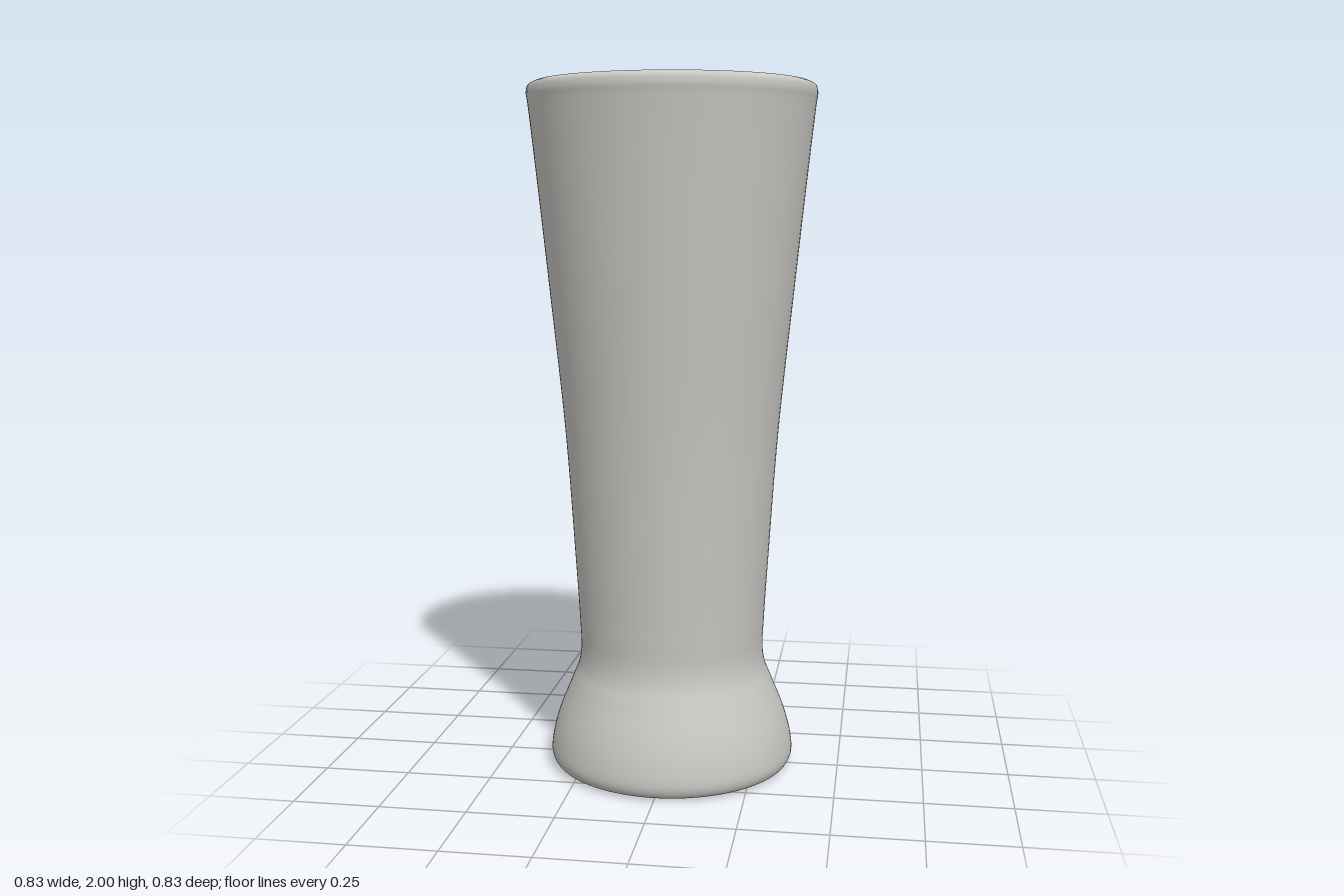
import * as THREE from 'three';

// Smooths a list of [radius, height] points into a lathe profile.
function smoothProfile(points, divisions) {
  const curve = new THREE.CatmullRomCurve3(
    points.map(([r, y]) => new THREE.Vector3(r, y, 0)), false, 'centripetal');
  return curve.getPoints(divisions).map((p) => new THREE.Vector2(Math.max(p.x, 0), p.y));
}

export function createModel() {
  const group = new THREE.Group();
  group.name = 'tumbler';
  const ceramic = new THREE.MeshStandardMaterial({ color: 0xc8c6c2 });
  ceramic.name = 'warm grey';

  const addLathe = (name, points, divisions) => {
    const mesh = new THREE.Mesh(
      new THREE.LatheGeometry(smoothProfile(points, divisions), 96), ceramic);
    mesh.name = name;
    group.add(mesh);
  };

  // Hollow underside of the flared foot, from the centre out to the standing ring
  addLathe('footRecess', [
    [0, 0.28], [0.1, 0.278], [0.17, 0.265], [0.205, 0.23], [0.225, 0.16],
    [0.25, 0.06], [0.262, 0.02], [0.28, 0.004], [0.3, 0],
  ], 60);

  // Standing ring, flared foot, waist and tapered outer wall up to the rim
  addLathe('outerWall', [
    [0.3, 0], [0.33, 0.003], [0.35, 0.012], [0.361, 0.035], [0.358, 0.08],
    [0.34, 0.15], [0.3, 0.25], [0.28, 0.3], [0.272, 0.35], [0.275, 0.44],
    [0.286, 0.62], [0.312, 1], [0.352, 1.4], [0.392, 1.78], [0.41, 1.94],
    [0.414, 1.97], [0.409, 1.99], [0.39, 2],
  ], 120);

  // Rounded lip, inner wall and cup floor
  addLathe('innerWall', [
    [0.39, 2], [0.374, 1.992], [0.366, 1.975], [0.362, 1.93], [0.345, 1.78],
    [0.305, 1.4], [0.265, 1], [0.238, 0.62], [0.228, 0.42], [0.218, 0.375],
    [0.19, 0.352], [0.1, 0.34], [0, 0.338],
  ], 100);

  return group;
}
